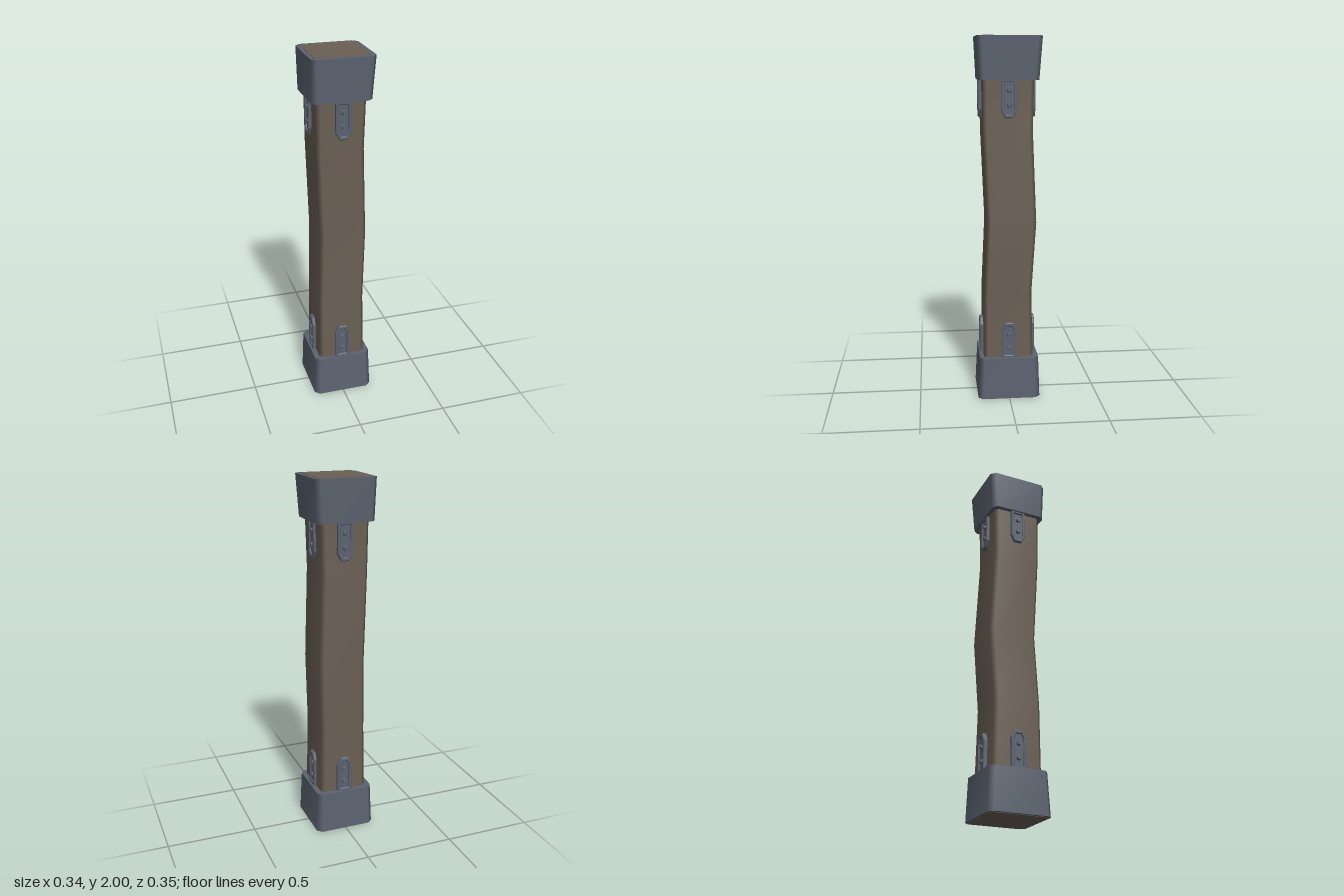
import * as THREE from 'three';

// Chamfered rectangular ring of 8 points, seen from above in counter-clockwise order
function ring([y, x0, x1, z0, z1], c) {
  return [
    [x1, z1 - c], [x1, z0 + c], [x1 - c, z0], [x0 + c, z0],
    [x0, z0 + c], [x0, z1 - c], [x0 + c, z1], [x1 - c, z1],
  ].map(([x, z]) => [x, y, z]);
}

// Loft through levels [y, x0, x1, z0, z1], with flat ends
function loft(levels, c) {
  const pos = [], idx = [];
  const rings = levels.map((l) => ring(l, c));
  rings.forEach((r) => r.forEach((p) => pos.push(...p)));
  for (let i = 0; i < rings.length - 1; i++) {
    for (let j = 0; j < 8; j++) {
      const a = i * 8 + j, b = i * 8 + (j + 1) % 8;
      idx.push(a, b, b + 8, a, b + 8, a + 8);
    }
  }
  [rings[0], rings[rings.length - 1]].forEach((r, end) => {
    const s = pos.length / 3;
    r.forEach((p) => pos.push(...p));
    for (let j = 1; j < 7; j++) {
      if (end) idx.push(s, s + j, s + j + 1);
      else idx.push(s, s + j + 1, s + j);
    }
  });
  const g = new THREE.BufferGeometry();
  g.setAttribute('position', new THREE.Float32BufferAttribute(pos, 3));
  g.setIndex(idx);
  g.computeVertexNormals();
  return g;
}

// Strap outline: flat at the cap (y = 0), tapered at the free end
function strapPoints(w, t, y0, y1, taper) {
  return [[-w, y0], [w, y0], [w, y1 - taper], [t, y1], [-t, y1], [-w, y1 - taper]]
    .map(([x, y]) => new THREE.Vector2(x, y));
}

export function createModel() {
  const model = new THREE.Group();
  const wood = new THREE.MeshStandardMaterial({ color: 0x6a5f54 });
  wood.name = 'wood';
  const metal = new THREE.MeshStandardMaterial({ color: 0x5c6370 });
  metal.name = 'metal';

  function add(parent, name, geometry, material) {
    const mesh = new THREE.Mesh(geometry, material);
    mesh.name = name;
    parent.add(mesh);
    return mesh;
  }

  // Slightly crooked wooden post
  add(model, 'post', loft([
    [0.1, -0.132, 0.138, -0.14, 0.14],
    [0.24, -0.132, 0.135, -0.135, 0.139],
    [0.6, -0.13, 0.127, -0.127, 0.137],
    [1.0, -0.117, 0.143, -0.15, 0.12],
    [1.5, -0.139, 0.12, -0.131, 0.14],
    [1.77, -0.141, 0.127, -0.135, 0.142],
    [1.9, -0.143, 0.13, -0.14, 0.143],
  ], 0.02), wood);

  // Metal caps
  add(model, 'bottomCap', loft([
    [0.002, -0.17, 0.17, -0.172, 0.174],
    [0.236, -0.162, 0.162, -0.164, 0.163],
  ], 0.026), metal);
  add(model, 'topCap', loft([
    [1.77, -0.167, 0.156, -0.16, 0.162],
    [1.998, -0.17, 0.17, -0.175, 0.173],
  ], 0.026), metal);

  // Wooden end grain showing inside each cap
  add(model, 'topEndGrain', loft([
    [1.994, -0.148, 0.146, -0.154, 0.15], [2, -0.148, 0.146, -0.154, 0.15],
  ], 0.016), wood);
  add(model, 'bottomEndGrain', loft([
    [0, -0.152, 0.152, -0.154, 0.154], [0.006, -0.152, 0.152, -0.154, 0.154],
  ], 0.016), wood);

  // Riveted strap: raised rim, recessed plate and two rivets
  const rimShape = new THREE.Shape(strapPoints(0.043, 0.022, -0.01, 0.2, 0.04));
  rimShape.holes.push(new THREE.Path(strapPoints(0.026, 0.014, 0.012, 0.18, 0.024).reverse()));
  const rimGeometry = new THREE.ExtrudeGeometry(rimShape, {
    depth: 0.032, bevelEnabled: true, bevelSegments: 1,
    bevelSize: 0.004, bevelThickness: 0.004, bevelOffset: -0.004,
  }).translate(0, 0, -0.036);
  const plateGeometry = new THREE.ExtrudeGeometry(
    new THREE.Shape(strapPoints(0.03, 0.016, 0, 0.185, 0.026)),
    { depth: 0.025, bevelEnabled: false },
  ).translate(0, 0, -0.034);
  const rivetGeometry = new THREE.CylinderGeometry(0.01, 0.015, 0.012, 8).rotateX(Math.PI / 2);

  // Outer reach of the straps on the front, left, back and right sides
  const ends = [
    { name: 'bottom', y: 0.238, flip: 0, reach: [0.157, 0.148, 0.153, 0.15] },
    { name: 'top', y: 1.77, flip: Math.PI, reach: [0.159, 0.138, 0.152, 0.157] },
  ];
  const sides = ['Front', 'Left', 'Back', 'Right'];
  ends.forEach(({ name, y, flip, reach }) => {
    sides.forEach((side, i) => {
      const mount = new THREE.Group();
      mount.name = `${name}${side}Strap`;
      mount.rotation.y = i * Math.PI / 2;
      const strap = new THREE.Group();
      strap.name = 'strap';
      strap.position.set(0, y, reach[i]);
      strap.rotation.z = flip;
      add(strap, 'rim', rimGeometry, metal);
      add(strap, 'plate', plateGeometry, metal);
      [0.053, 0.13].forEach((h) => {
        add(strap, 'rivet', rivetGeometry, metal).position.set(0, h, -0.004);
      });
      mount.add(strap);
      model.add(mount);
    });
  });

  return model;
}
